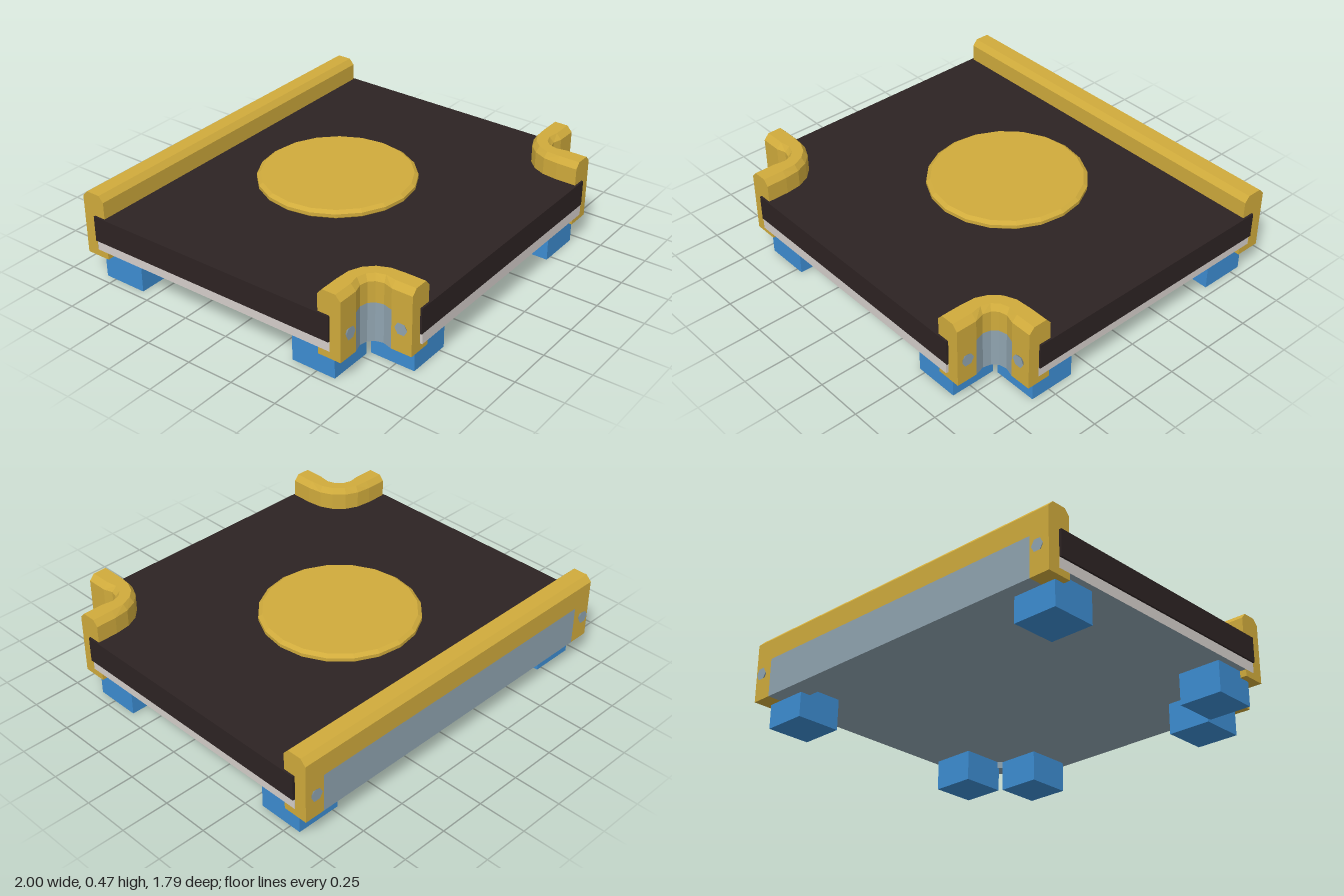
import * as THREE from 'three';

const mat = (name, color, opts = {}) => {
  const m = new THREE.MeshStandardMaterial({ color, ...opts });
  m.name = name;
  return m;
};

// Sweeps a closed (t, y) profile through stations [innerX, innerZ, outerX, outerZ].
function sweep(profile, stations) {
  const ring = stations.map(([ix, iz, ox, oz]) => profile.map(([t, y]) =>
    new THREE.Vector3(ix + (ox - ix) * t, y, iz + (oz - iz) * t)));
  const tris = [];
  const n = profile.length;
  for (let s = 0; s < ring.length - 1; s++) {
    for (let i = 0; i < n; i++) {
      const j = (i + 1) % n;
      const a = ring[s][i], b = ring[s][j], c = ring[s + 1][j], d = ring[s + 1][i];
      tris.push([a, b, c], [a, c, d]);
    }
  }
  // end caps, wound opposite to the side walls along shared edges
  const contour = profile.map(([t, y]) => new THREE.Vector2(t, y));
  const ccw = !THREE.ShapeUtils.isClockWise(contour);
  const last = ring[ring.length - 1];
  for (const face of THREE.ShapeUtils.triangulateShape(contour, [])) {
    let [a, b, c] = face;
    const p = contour;
    const area = (p[b].x - p[a].x) * (p[c].y - p[a].y) - (p[c].x - p[a].x) * (p[b].y - p[a].y);
    if ((area > 0) !== ccw) [b, c] = [c, b];
    tris.push([ring[0][a], ring[0][c], ring[0][b]], [last[a], last[b], last[c]]);
  }
  // turn the whole solid outward
  let volume = 0;
  for (const [a, b, c] of tris) volume += a.dot(b.clone().cross(c));
  const points = tris.flatMap(([a, b, c]) => (volume < 0 ? [a, c, b] : [a, b, c]));
  const g = new THREE.BufferGeometry().setFromPoints(points);
  g.computeVertexNormals();
  return g;
}

export function createModel() {
  const gold = mat('gold', 0xd0ab3c, { flatShading: true });
  const dark = mat('dark brown', 0x2d2323);
  const pale = mat('pale grey', 0xd5cfcb);
  const slate = mat('slate', 0x90a4b0);
  const blue = mat('blue', 0x3d8dd2);

  const model = new THREE.Group();
  const add = (name, geometry, material, x = 0, y = 0, z = 0) => {
    const mesh = new THREE.Mesh(geometry, material);
    mesh.name = name;
    mesh.position.set(x, y, z);
    model.add(mesh);
    return mesh;
  };

  // Channel profiles: t = 0 over the slab, t = 1 at the outer face
  const top = [[0.5, 0.355], [0, 0.355], [0, 0.445], [0.2, 0.475], [0.78, 0.475], [1, 0.445]];
  const foot = [[1, 0.13], [0, 0.13], [0, 0.165], [0.5, 0.165]];
  const full = [...top, ...foot];
  const upper = [...top, [1, 0.335], [0.5, 0.335]];
  const lower = [[1, 0.335], ...foot, [0.5, 0.335]];

  // Left front bracket stations: one half, then its reflection about the diagonal
  const half = [
    [0.99, 0.535, 0.99, 0.66], [0.88, 0.535, 0.88, 0.66],
    [0.80, 0.545, 0.83, 0.645], [0.735, 0.575, 0.79, 0.655],
  ];
  const bend = [...half, ...half.map(([a, b, c, d]) => [b + 0.11, a - 0.11, d + 0.11, c - 0.11]).reverse()];

  // Slab outline with scooped front corners
  const scoop = bend.slice(1, -1).map(([a, b, c, d]) => [(a + c) / 2, (b + d) / 2]);
  const leftEdge = [[1, -0.815], [1, 0.6], ...scoop, [0.71, 0.89]];
  const outline = [...leftEdge, ...leftEdge.map(([x, z]) => [-x, z]).reverse()];
  const slab = (w, y0, y1) => {
    const shape = new THREE.Shape(outline.map(([x, z]) => new THREE.Vector2(x * w, -z)));
    const g = new THREE.ExtrudeGeometry(shape, { depth: y1 - y0, bevelEnabled: false });
    return g.rotateX(-Math.PI / 2).translate(0, y0, 0);
  };
  add('topSlab', slab(1, 0.22, 0.355), dark);
  add('baseSlab', slab(0.99, 0.165, 0.22), [slate, pale]);

  // Raised disc with a bevelled rim
  const discProfile = [[0, 0.353], [0.395, 0.353], [0.405, 0.362], [0.405, 0.38], [0.385, 0.394], [0, 0.394]];
  add('disc', new THREE.LatheGeometry(discProfile.map(p => new THREE.Vector2(...p)), 20), gold, 0, 0, -0.11);

  // Back rail: gold ends and cap, slate panel in the middle
  const railAt = x => [x, -0.752, x, -0.884];
  add('backRailCap', sweep(upper, [railAt(-0.88), railAt(0.88)]), gold);
  add('backPanel', sweep(lower, [railAt(-0.88), railAt(0.88)]), slate);

  // Hexagonal bolt, wider at its head
  const boltGeometry = new THREE.CylinderGeometry(0.034, 0.018, 0.016, 6)
    .rotateY(Math.PI / 2).rotateX(Math.PI / 2);
  const bolt = (x, z, turn) => {
    add('bolt', boltGeometry, slate, x, 0.265, z).rotation.y = turn;
  };

  const footGeometry = new THREE.BoxGeometry(0.235, 0.165, 0.24);

  for (const side of [1, -1]) {
    const tag = side > 0 ? 'left' : 'right';
    add(tag + 'RailEnd', sweep(full, [railAt(side * 0.88), railAt(side * 0.99)]), gold);

    // Curved front bracket: two solid ends joined by a capped slate bend
    const path = bend.map(([a, b, c, d]) => [a * side, b, c * side, d]);
    add(tag + 'BracketSideEnd', sweep(full, path.slice(0, 2)), gold);
    add(tag + 'BracketFrontEnd', sweep(full, path.slice(-2)), gold);
    add(tag + 'BracketCap', sweep(upper, path.slice(1, -1)), gold);
    add(tag + 'BracketPanel', sweep(lower, path.slice(1, -1)), slate);

    bolt(side * 0.935, -0.89, Math.PI);
    bolt(side * 0.935, 0.666, 0);
    bolt(side * 0.776, 0.83, side * Math.PI / 2);

    // Block feet
    for (const [x, z] of [[0.5825, 0.73], [0.8375, 0.48], [0.8375, -0.6875]]) {
      add(tag + 'Foot', footGeometry, blue, side * x, 0.0825, z);
    }
  }
  return model;
}
